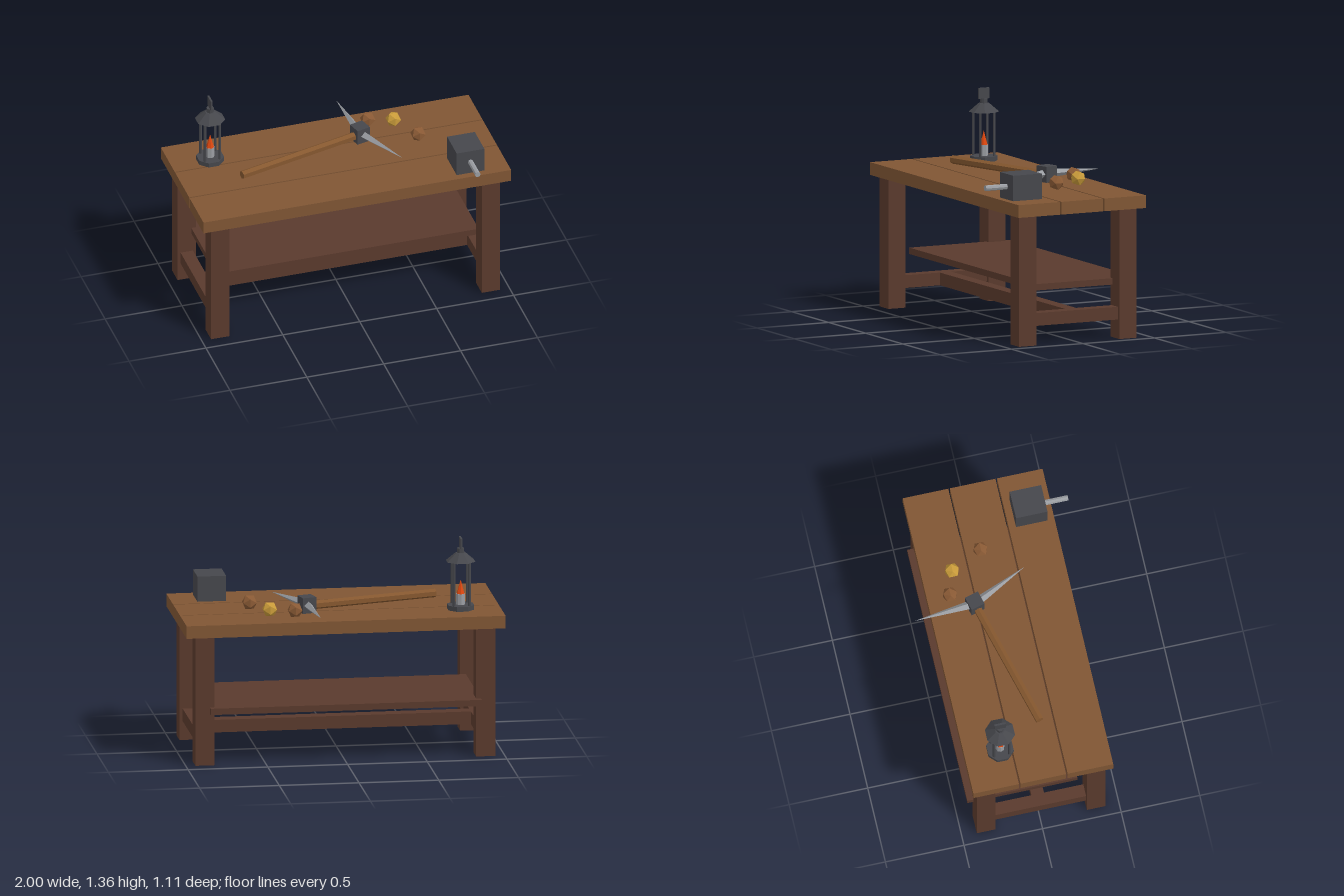
import * as THREE from 'three';

const mat = (name, color) => {
  const m = new THREE.MeshStandardMaterial({ color, flatShading: true });
  m.name = name;
  return m;
};

export function createModel() {
  const M = {
    plank: mat('plank wood', 0x805634),
    frame: mat('dark frame wood', 0x5a3a2d),
    handle: mat('handle wood', 0x85572f),
    iron: mat('dark iron', 0x46474c),
    steel: mat('steel', 0x9a9da2),
    flame: mat('flame orange', 0xe0480f),
    copper: mat('copper ore', 0x8a5a35),
    gold: mat('gold ore', 0xc99b3a),
  };
  const model = new THREE.Group();
  model.name = 'workbench';

  const add = (parent, name, geo, material, x = 0, y = 0, z = 0) => {
    const mesh = new THREE.Mesh(geo, material);
    mesh.name = name;
    mesh.position.set(x, y, z);
    parent.add(mesh);
    return mesh;
  };
  const group = (name, x, y, z) => {
    const g = new THREE.Group();
    g.name = name;
    g.position.set(x, y, z);
    model.add(g);
    return g;
  };
  const box = (w, h, d) => new THREE.BoxGeometry(w, h, d);

  // Table: three planks, four legs, H-shaped stretchers and a low shelf
  const table = group('table', 0, 0, 0.005);
  for (const z of [-0.3, 0, 0.3]) add(table, 'topPlank', box(2, 0.08, 0.29), M.plank, 0, 0.86, z);
  for (const sx of [-1, 1]) {
    for (const sz of [-1, 1]) add(table, 'leg', box(0.12, 0.82, 0.12), M.frame, sx * 0.88, 0.41, sz * 0.35);
    add(table, 'sideStretcher', box(0.08, 0.08, 0.58), M.frame, sx * 0.88, 0.16, 0);
  }
  add(table, 'longStretcher', box(1.68, 0.08, 0.08), M.frame, 0, 0.16, 0);
  add(table, 'shelf', box(1.7, 0.04, 0.7), M.frame, 0, 0.35, -0.1);

  // Vise: iron block with a screw pointing forward
  const vise = group('vise', 0.75, 0.98, 0.305);
  add(vise, 'viseBlock', box(0.18, 0.16, 0.2), M.iron);
  add(vise, 'viseScrew', new THREE.CylinderGeometry(0.018, 0.018, 0.16, 8).rotateX(Math.PI / 2), M.steel, 0, 0, 0.17);

  // Lantern: octagonal base and roof, four posts, candle and flame
  const lantern = group('lantern', -0.75, 0.9, -0.215);
  const octagon = (rTop, rBottom, h) => new THREE.CylinderGeometry(rTop, rBottom, h, 8).rotateY(Math.PI / 8);
  add(lantern, 'lanternBase', octagon(0.087, 0.087, 0.03), M.iron, 0, 0.015, 0);
  for (const sx of [-1, 1]) for (const sz of [-1, 1]) {
    add(lantern, 'post', new THREE.CylinderGeometry(0.009, 0.009, 0.28, 6), M.iron, sx * 0.048, 0.17, sz * 0.048);
  }
  add(lantern, 'roof', octagon(0.032, 0.095, 0.054), M.iron, 0, 0.333, 0);
  add(lantern, 'collar', octagon(0.023, 0.023, 0.03), M.iron, 0, 0.374, 0);
  add(lantern, 'hanger', box(0.012, 0.068, 0.072), M.iron, 0, 0.421, 0);
  add(lantern, 'candle', new THREE.CylinderGeometry(0.028, 0.028, 0.07, 8), M.steel, 0, 0.063, 0);
  add(lantern, 'flame', new THREE.ConeGeometry(0.026, 0.09, 6), M.flame, 0, 0.142, 0);

  // Pickaxe lying on the top, its two points swept away from the handle
  const pick = group('pickaxe', 0.207, 0.95, -0.16);
  pick.rotation.y = THREE.MathUtils.degToRad(15);
  add(pick, 'pickHandle', new THREE.CylinderGeometry(0.027, 0.027, 0.86, 6).rotateY(Math.PI / 6).rotateZ(Math.PI / 2),
    M.handle, -0.437, -0.01, 0);
  add(pick, 'pickHead', box(0.09, 0.1, 0.09), M.iron);
  for (const s of [-1, 1]) {
    const point = new THREE.ConeGeometry(0.028, 0.365, 4).translate(0, 0.2125, 0).rotateX(s * Math.PI / 2);
    add(pick, 'pickPoint', point, M.steel).rotation.y = s * 0.18;
  }

  // Loose ore nuggets
  const ores = [['copper', 0.3, -0.297], ['gold', 0.452, -0.25], ['copper', 0.55, -0.047]];
  for (const [kind, x, z] of ores) {
    add(model, kind + 'Nugget', new THREE.IcosahedronGeometry(0.05, 0), M[kind], x, 0.947, z);
  }
  return model;
}
